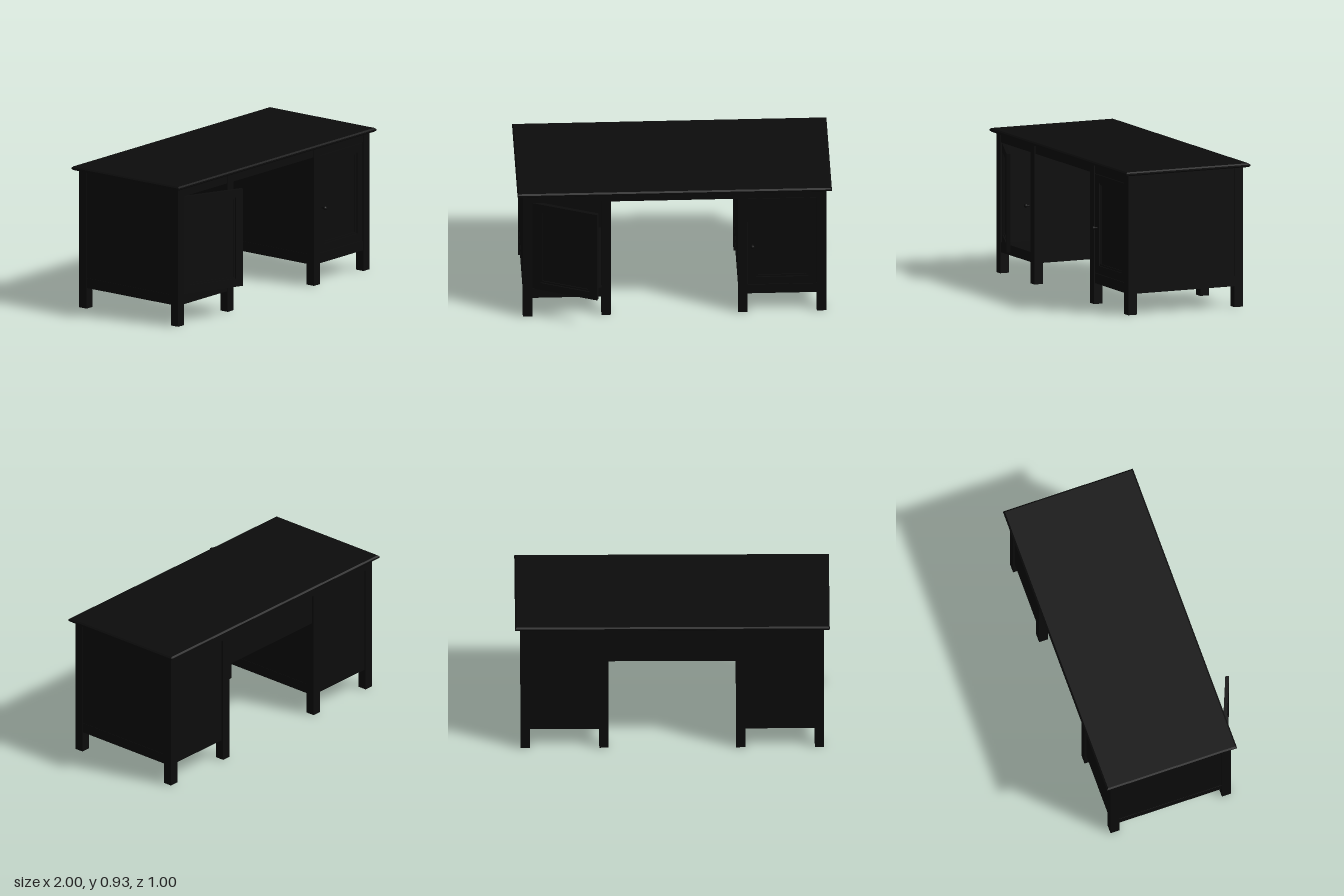
import * as THREE from 'three';

const paint = new THREE.MeshStandardMaterial({ color: 0x0c0c0c });

function add(parent, name, geometry, x = 0, y = 0, z = 0) {
  const mesh = new THREE.Mesh(geometry, paint);
  mesh.name = name;
  mesh.position.set(x, y, z);
  parent.add(mesh);
  return mesh;
}

// Box given by its lower and upper limits on each axis
function block(parent, name, [x0, x1], [y0, y1], [z0, z1]) {
  return add(parent, name, new THREE.BoxGeometry(x1 - x0, y1 - y0, z1 - z0),
    (x0 + x1) / 2, (y0 + y1) / 2, (z0 + z1) / 2);
}

function rectangle(path, x0, x1, y0, y1) {
  path.moveTo(x0, y0);
  path.lineTo(x1, y0);
  path.lineTo(x1, y1);
  path.lineTo(x0, y1);
  path.closePath();
  return path;
}

// Flat rectangular ring standing in the xy plane
function frame(w, h, border, depth) {
  const shape = rectangle(new THREE.Shape(), 0, w, 0, h);
  shape.holes.push(rectangle(new THREE.Path(), border, w - border, border, h - border));
  return new THREE.ExtrudeGeometry(shape, { depth, bevelEnabled: false });
}

const DOOR_W = 0.436, DOOR_H = 0.636;

// Framed door: lower left front corner at the group origin
function makeDoor() {
  const door = new THREE.Group();
  door.name = 'door';
  add(door, 'doorFrame', frame(DOOR_W, DOOR_H, 0.052, 0.024), 0, 0, -0.024);
  add(door, 'doorMoulding', frame(DOOR_W - 0.104, DOOR_H - 0.104, 0.012, 0.012), 0.052, 0.052, -0.02);
  block(door, 'doorPanel', [0.05, DOOR_W - 0.05], [0.05, DOOR_H - 0.05], [-0.02, -0.014]);
  return door;
}

// Round knob with a narrow neck, pointing forwards
function makeKnob() {
  const profile = [[0, 0], [0.007, 0], [0.005, 0.012], [0.011, 0.02], [0.013, 0.027], [0.01, 0.034], [0, 0.037]]
    .map(([r, h]) => new THREE.Vector2(r, h));
  return new THREE.LatheGeometry(profile, 20).rotateX(Math.PI / 2);
}

// Cabinet on four legs; s = 1 is the left one, s = -1 the right one
function makePedestal(s) {
  const g = new THREE.Group();
  g.name = s > 0 ? 'leftPedestal' : 'rightPedestal';
  const part = (name, a, b, y, z) => block(g, name, s > 0 ? [a, b] : [-b, -a], y, z);

  for (const [a, b] of [[0.405, 0.465], [0.905, 0.965]]) {
    part('frontLeg', a, b, [0, 0.902], [0.285, 0.345]);
    part('backLeg', a, b, [0, 0.902], [-0.465, -0.405]);
  }
  // Sides
  for (const [a, b, c, d] of [[0.41, 0.428, 0.408, 0.432], [0.942, 0.96, 0.938, 0.962]]) {
    part('sidePanel', a, b, [0.195, 0.902], [-0.406, 0.286]);
    part('sideRail', c, d, [0.135, 0.2], [-0.406, 0.286]);
  }
  // Front and back
  part('frontTopRail', 0.464, 0.906, [0.842, 0.902], [0.3, 0.34]);
  part('frontBottomRail', 0.464, 0.906, [0.135, 0.2], [0.3, 0.34]);
  part('backPanel', 0.464, 0.906, [0.135, 0.902], [-0.453, -0.435]);
  // Floor, set up inside the rails
  part('floor', 0.42, 0.95, [0.17, 0.19], [-0.44, 0.305]);
  return g;
}

export function createModel() {
  const desk = new THREE.Group();
  desk.name = 'desk';

  // Top with chamfered edges
  const slab = rectangle(new THREE.Shape(), -0.99, 0.99, -0.365, 0.49);
  const topGeometry = new THREE.ExtrudeGeometry(slab, {
    depth: 0.009, bevelThickness: 0.008, bevelSize: 0.01, bevelSegments: 1,
  }).rotateX(-Math.PI / 2);
  add(desk, 'deskTop', topGeometry, 0, 0.908, 0);

  desk.add(makePedestal(1), makePedestal(-1));

  // Rails and panel bridging the knee space
  block(desk, 'frontKneeRail', [-0.406, 0.406], [0.842, 0.902], [0.31, 0.34]);
  block(desk, 'backKneePanel', [-0.406, 0.406], [0.645, 0.902], [-0.453, -0.435]);
  block(desk, 'backTopRail', [-0.905, 0.905], [0.845, 0.902], [-0.468, -0.435]);

  // Closed left door, and right door ajar on its outer hinge
  const leftDoor = makeDoor();
  leftDoor.position.set(0.467, 0.202, 0.338);
  const rightDoor = makeDoor();
  rightDoor.position.set(-0.903, 0.202, 0.334);
  rightDoor.rotation.y = -THREE.MathUtils.degToRad(22);
  desk.add(leftDoor, rightDoor);

  for (const s of [1, -1]) add(desk, 'knob', makeKnob(), s * 0.495, 0.495, 0.338);
  return desk;
}
